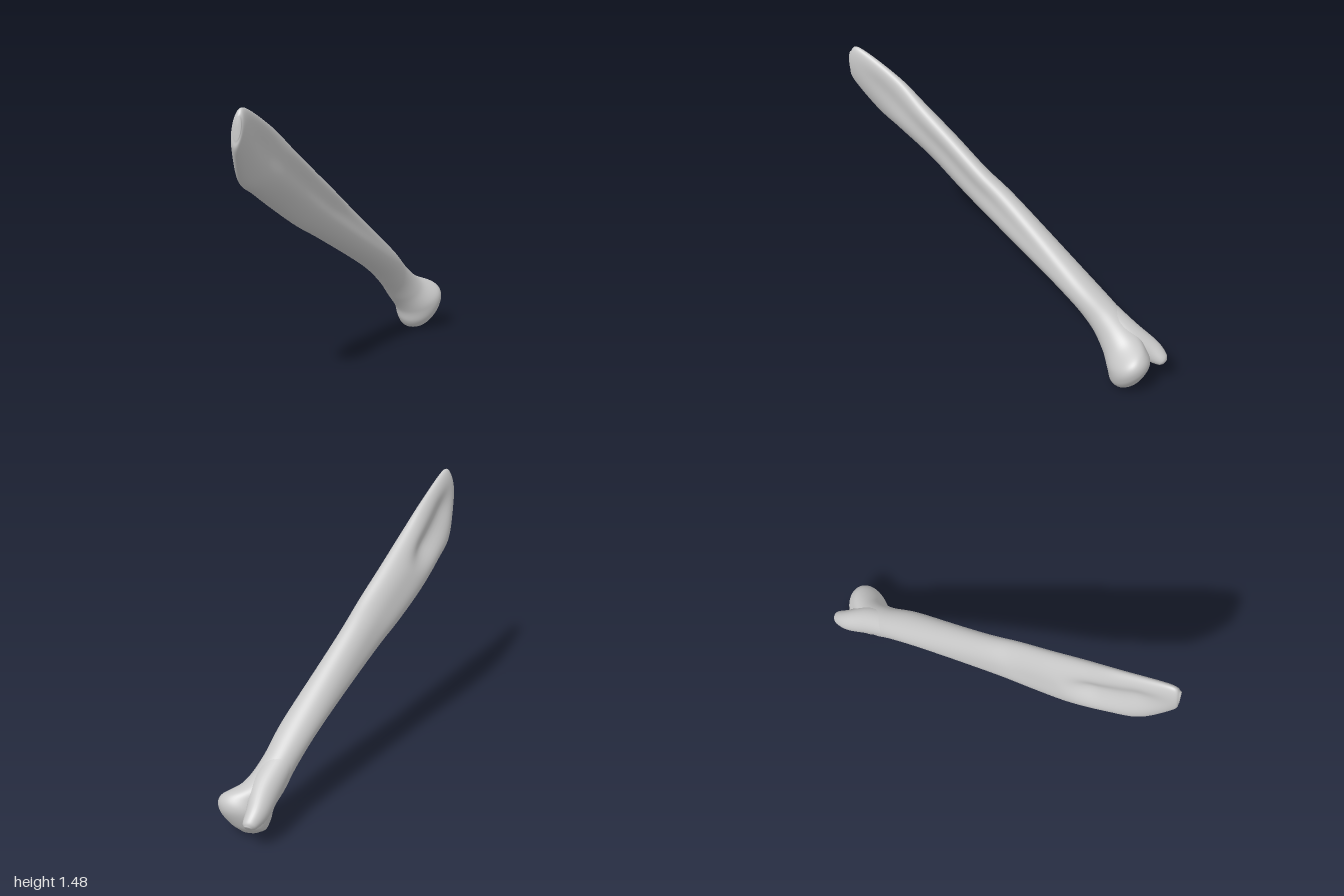
import * as THREE from 'three';

const boneGrey = new THREE.MeshStandardMaterial({ color: 0xc8c8c8 });
boneGrey.name = 'bone grey';

// Each row is one cross-section: upper edge x,y,z, lower edge x,y,z, half width
const shaftRows = [
  [0.19, 0.03, -0.855, 0.18, 0, -0.78, 0.04],
  [0.2, 0.09, -0.9, 0.18, 0.008, -0.745, 0.088],
  [0.23, 0.19, -0.935, 0.18, 0.045, -0.715, 0.122],
  [0.23, 0.26, -0.905, 0.17, 0.11, -0.695, 0.127],
  [0.14, 0.315, -0.82, 0.13, 0.19, -0.645, 0.103],
  [0.095, 0.405, -0.7, 0.085, 0.3, -0.55, 0.09],
  [0.055, 0.55, -0.5, 0.025, 0.44, -0.36, 0.095],
  [-0.055, 0.853, -0.07, -0.115, 0.68, 0.09, 0.09],
  [-0.09, 0.975, 0.12, -0.19, 0.79, 0.3, 0.087],
  [-0.14, 1.105, 0.31, -0.255, 0.91, 0.5, 0.086],
  [-0.187, 1.235, 0.5, -0.295, 1.02, 0.7, 0.08],
  [-0.228, 1.36, 0.68, -0.318, 1.1, 0.85, 0.06],
  [-0.272, 1.475, 0.93, -0.3, 1.26, 0.985, 0.036],
  [-0.28, 1.44, 0.995, -0.29, 1.33, 1, 0.018],
];

const processRows = [
  [0.115, 0.165, -1, 0.115, 0.135, -0.975, 0.02],
  [0.11, 0.195, -0.99, 0.11, 0.13, -0.95, 0.04],
  [0.102, 0.25, -0.935, 0.1, 0.14, -0.87, 0.058],
  [0.11, 0.335, -0.815, 0.105, 0.2, -0.73, 0.078],
  [0.085, 0.425, -0.665, 0.08, 0.32, -0.57, 0.08],
];

// Long grooves fade in along the shaft and out at its tip; the left-hand face
// (-x) turns into a deep hollow near the upper end
function grooveDepth(z, rightFace) {
  const { smoothstep } = THREE.MathUtils;
  const along = smoothstep(z, -0.6, 0.3) * (1 - smoothstep(z, 0.8, 0.98));
  return along * (rightFace ? 0.25 : 0.08 + 0.57 * smoothstep(z, 0.42, 0.62));
}

// Smooth closed skin through the cross-sections, with a pole at each end
function loft(name, rows, steps, sides) {
  const curve = (f) => new THREE.CatmullRomCurve3(rows.map(f), false, 'catmullrom', 0.5);
  const upper = curve((r) => new THREE.Vector3(r[0], r[1], r[2]));
  const lower = curve((r) => new THREE.Vector3(r[3], r[4], r[5]));
  const width = curve((r) => new THREE.Vector3(r[6], 0, 0));
  const positions = [];
  const index = [];
  for (let i = 0; i <= steps + 2; i++) {
    const t = THREE.MathUtils.clamp((i - 1) / steps, 0, 1);
    const size = i === 0 || i === steps + 2 ? 0 : 1;
    const top = upper.getPoint(t);
    const bottom = lower.getPoint(t);
    const side = width.getPoint(t);
    const centre = top.clone().add(bottom).multiplyScalar(0.5);
    const up = top.clone().sub(bottom).multiplyScalar(0.5);
    for (let j = 0; j < sides; j++) {
      const angle = (j / sides) * Math.PI * 2;
      const c = Math.cos(angle);
      const s = Math.sin(angle);
      // Grooves sit a little above the middle of each face
      const dent = grooveDepth(centre.z, s > 0) * Math.exp(-((c - 0.2) ** 2) / 0.2);
      const p = centre.clone().addScaledVector(up, c * size);
      p.addScaledVector(side, s * (1 - dent) * size);
      positions.push(p.x, p.y, p.z);
      const k = (j + 1) % sides;
      const q = i * sides;
      const n = q + sides;
      if (i > 0 && i < steps + 2) index.push(q + j, n + j, q + k);
      if (i < steps + 1) index.push(q + k, n + j, n + k);
    }
  }
  const geometry = new THREE.BufferGeometry();
  geometry.setAttribute('position', new THREE.Float32BufferAttribute(positions, 3));
  geometry.setIndex(index);
  geometry.computeVertexNormals();
  const mesh = new THREE.Mesh(geometry, boneGrey);
  mesh.name = name;
  return mesh;
}

export function createModel() {
  const model = new THREE.Group();
  model.name = 'bone';
  // Long shaft swelling into the rounded joint head
  model.add(loft('shaftAndHead', shaftRows, 130, 56));
  // Small knob behind the joint head
  model.add(loft('rearProcess', processRows, 36, 32));
  return model;
}
